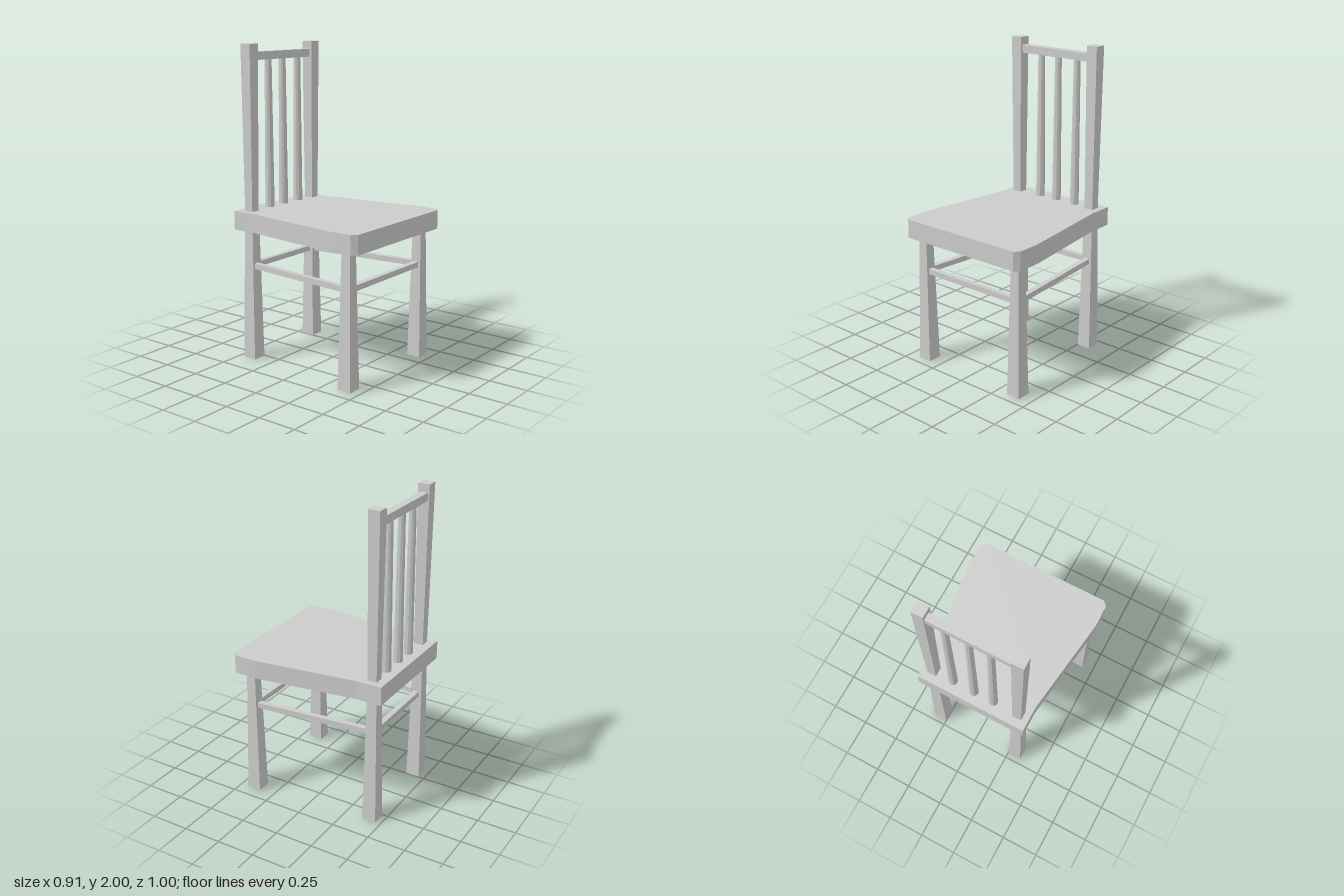
import * as THREE from 'three';

const material = new THREE.MeshStandardMaterial({ color: 0xcccccc, flatShading: true });

export function createModel() {
  const chair = new THREE.Group();
  chair.name = 'chair';

  const add = (name, geometry, x, y, z) => {
    const mesh = new THREE.Mesh(geometry, material);
    mesh.name = name;
    mesh.position.set(x, y, z);
    chair.add(mesh);
    return mesh;
  };

  // Square post tapering from bottom width to top width
  const post = (name, x, z, y0, y1, bottom, top) => {
    const geometry = new THREE.CylinderGeometry(top * Math.SQRT1_2, bottom * Math.SQRT1_2, y1 - y0, 4);
    geometry.rotateY(Math.PI / 4);
    add(name, geometry, x, (y0 + y1) / 2, z);
  };

  // Straight bar between two points at the same height
  const bar = (name, x0, z0, x1, z1, y, height, depth) => {
    const length = Math.hypot(x1 - x0, z1 - z0);
    const mesh = add(name, new THREE.BoxGeometry(length, height, depth), (x0 + x1) / 2, y, (z0 + z1) / 2);
    mesh.rotation.y = -Math.atan2(z1 - z0, x1 - x0);
  };

  // Seat: tapered slab with clipped front corners
  const half = [[0.37, -0.5], [0.37, -0.335], [0.457, 0.325], [0.455, 0.47], [0.427, 0.5]];
  const outline = [...half, ...half.map(([x, z]) => [-x, z]).reverse()];
  const shape = new THREE.Shape(outline.map(([x, z]) => new THREE.Vector2(x, -z)));
  const seat = new THREE.ExtrudeGeometry(shape, { depth: 0.12, bevelEnabled: false });
  seat.rotateX(-Math.PI / 2);
  add('seat', seat, 0, 0.843, 0);

  // Legs, back posts and side stretchers, mirrored
  const front = { x: 0.376, z: 0.398 };
  const back = { x: 0.298, z: -0.417 };
  for (const [side, s] of [['left', 1], ['right', -1]]) {
    post(side + 'FrontLeg', s * front.x, front.z, 0, 0.85, 0.092, 0.059);
    post(side + 'BackLeg', s * back.x, back.z, 0, 0.85, 0.092, 0.065);
    post(side + 'BackPost', s * back.x, back.z, 0.95, 2, 0.06, 0.075);
    bar(side + 'Stretcher', s * front.x, front.z, s * back.x, back.z, 0.612, 0.035, 0.035);
  }

  // Front and back stretchers
  bar('frontStretcher', -front.x, front.z, front.x, front.z, 0.612, 0.035, 0.035);
  bar('backStretcher', -back.x, back.z, back.x, back.z, 0.612, 0.035, 0.035);

  // Backrest: top rail and three tapered spindles
  bar('topRail', -0.27, -0.42, 0.27, -0.42, 1.925, 0.05, 0.051);
  for (const x of [-0.122, 0.013, 0.16]) {
    add('spindle', new THREE.CylinderGeometry(0.022, 0.03, 0.96, 10), x, 1.43, -0.42);
  }

  return chair;
}
